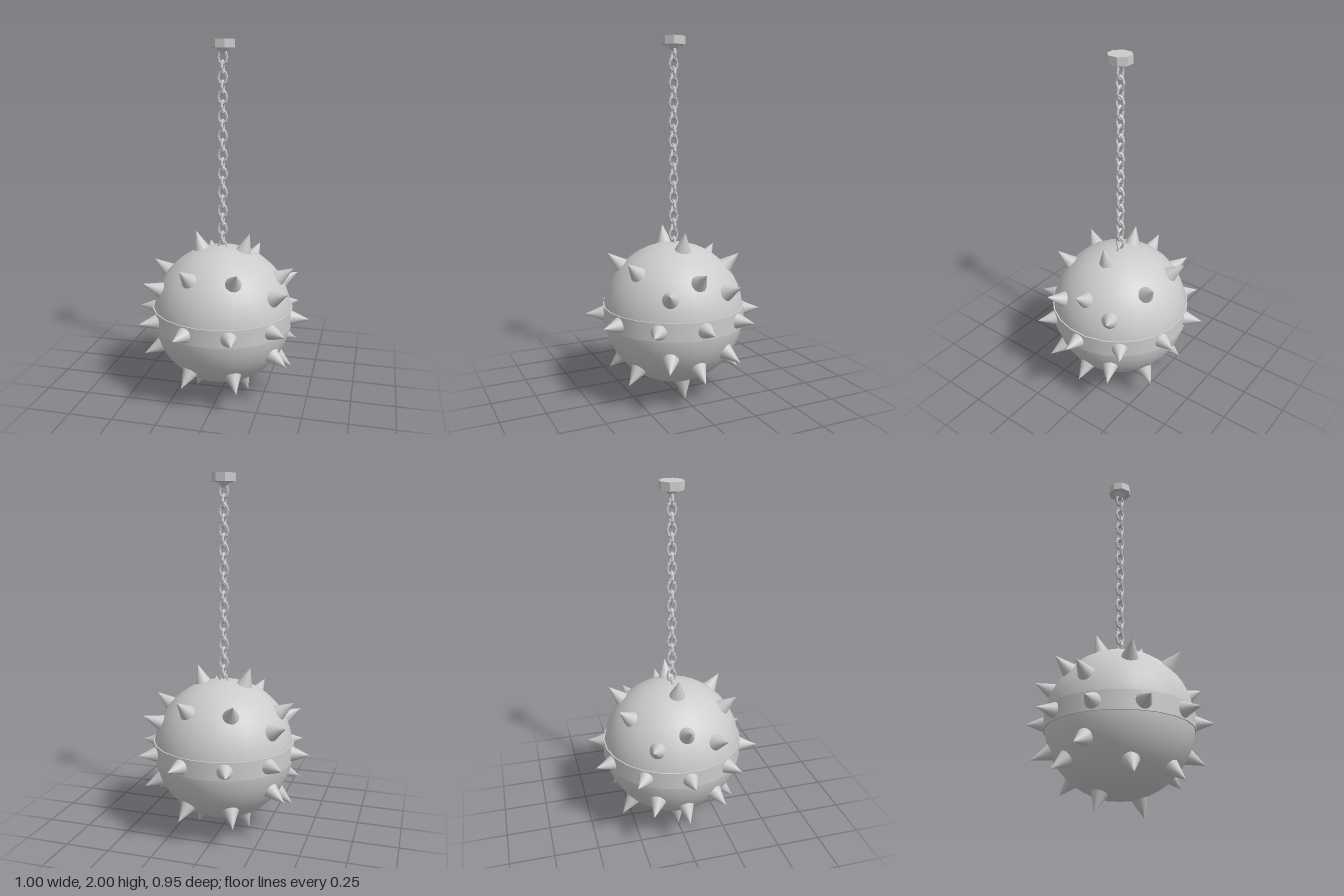
import * as THREE from 'three';

const CENTER_Y = 0.48;
const BALL_R = 0.397;
const TIP_R = 0.5;

export function createModel() {
  const root = new THREE.Group();
  root.name = 'spikedBallOnChain';
  const smooth = new THREE.MeshStandardMaterial({ color: 0xcccccc });
  const flat = new THREE.MeshStandardMaterial({ color: 0xcccccc, flatShading: true });

  const add = (parent, name, geometry, material, x = 0, y = 0, z = 0) => {
    const mesh = new THREE.Mesh(geometry, material);
    mesh.name = name;
    mesh.position.set(x, y, z);
    parent.add(mesh);
    return mesh;
  };

  // Ball with a slightly raised belt around its equator
  const ball = new THREE.Group();
  ball.name = 'ball';
  ball.position.y = CENTER_Y;
  root.add(ball);
  const turn = Math.PI / 24;
  add(ball, 'sphere', new THREE.SphereGeometry(BALL_R, 24, 24), smooth).rotation.y = turn;
  add(ball, 'belt', new THREE.CylinderGeometry(0.401, 0.401, 0.1, 24), smooth).rotation.y = turn;

  // Spikes: one on each x pole, and four rings of eight around the x axis
  const baseR = 0.37;
  const spikeGeo = new THREE.ConeGeometry(0.054, TIP_R - baseR, 16);
  spikeGeo.translate(0, (TIP_R + baseR) / 2, 0);
  const up = new THREE.Vector3(0, 1, 0);
  const addSpike = (polar, around) => {
    const dir = new THREE.Vector3(
      Math.cos(polar),
      Math.sin(polar) * Math.cos(around),
      Math.sin(polar) * Math.sin(around)
    );
    add(ball, 'spike', spikeGeo, smooth).quaternion.setFromUnitVectors(up, dir);
  };
  addSpike(0, 0);
  addSpike(Math.PI, 0);
  for (let ring = 1; ring <= 4; ring++) {
    for (let i = 0; i < 8; i++) addSpike((ring * Math.PI) / 5, (i * Math.PI) / 4);
  }

  // Chain of oval links, every other one turned a quarter
  const chain = new THREE.Group();
  chain.name = 'chain';
  root.add(chain);
  const linkGeo = new THREE.TorusGeometry(0.028, 0.008, 6, 8);
  linkGeo.scale(0.85, 1.2, 1);
  const pitch = 0.0517;
  for (let i = 0; i <= 20; i++) {
    const link = add(chain, 'link', linkGeo, flat, 0, 0.872 + i * pitch, 0);
    link.rotation.y = (i % 2) * Math.PI / 2;
  }

  // Octagonal ceiling mount with a tapered socket below
  const eighth = Math.PI / 8;
  add(root, 'mount', new THREE.CylinderGeometry(0.066, 0.066, 0.045, 8), flat, 0, 1.9775, 0).rotation.y = eighth;
  add(root, 'mountSocket', new THREE.CylinderGeometry(0.036, 0.014, 0.025, 8), flat, 0, 1.943, 0).rotation.y = eighth;

  return root;
}
